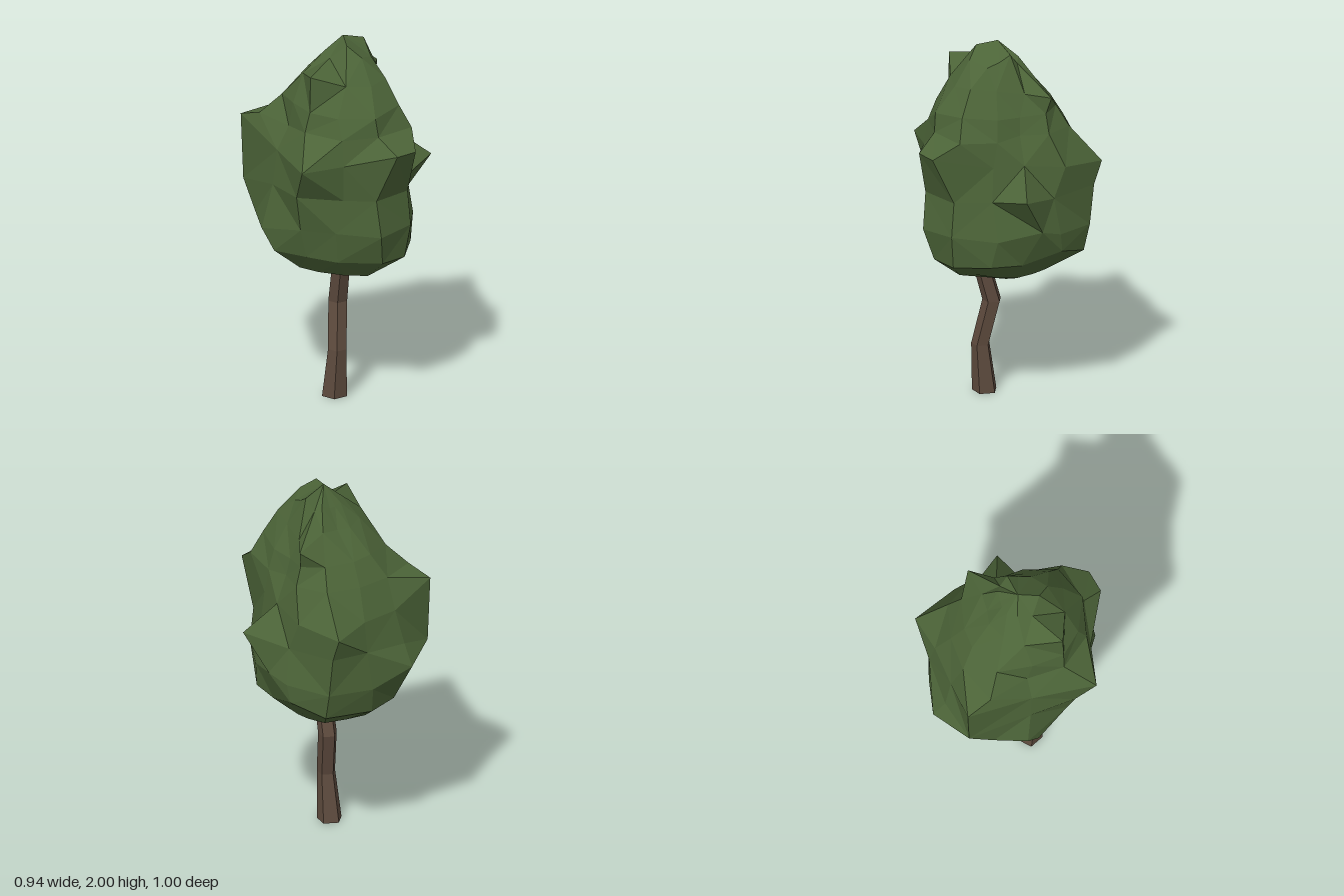
import * as THREE from 'three';

const bark = new THREE.MeshStandardMaterial({ color: 0x5e4b3e, flatShading: true });
bark.name = 'bark brown';
const leaf = new THREE.MeshStandardMaterial({ color: 0x4c6438, flatShading: true });
leaf.name = 'leaf green';

// Small seeded generator for the irregular facets
function seeded(seed) {
  return () => {
    seed = (seed * 16807) % 2147483647;
    return seed / 2147483647;
  };
}

// Faceted skin over rings of points (bottom to top), closed by two end points.
// Each quad is split along its shorter diagonal.
function loft(rings, bottom, top) {
  const pos = [];
  const tri = (...pts) => pts.forEach((p) => pos.push(p.x, p.y, p.z));
  const n = rings[0].length;
  for (let i = 0; i < n; i++) {
    const j = (i + 1) % n;
    tri(bottom, rings[0][i], rings[0][j]);
    for (let r = 0; r < rings.length - 1; r++) {
      const a = rings[r][i], b = rings[r][j], c = rings[r + 1][j], d = rings[r + 1][i];
      if (b.distanceTo(d) < a.distanceTo(c)) { tri(a, d, b); tri(b, d, c); }
      else { tri(a, d, c); tri(a, c, b); }
    }
    const last = rings[rings.length - 1];
    tri(last[i], top, last[j]);
  }
  const g = new THREE.BufferGeometry();
  g.setAttribute('position', new THREE.Float32BufferAttribute(pos, 3));
  g.computeVertexNormals();
  return g;
}

// Bent five-sided trunk: x, y, z, radius
function makeTrunk() {
  const path = [
    [-0.1, 0, 0.065, 0.069],
    [-0.096, 0.27, 0.09, 0.051],
    [-0.068, 0.52, 0.037, 0.052],
    [-0.076, 0.72, 0.09, 0.05],
    [-0.08, 0.9, 0.1, 0.045],
  ];
  const rings = path.map(([x, y, z, r]) => Array.from({ length: 5 }, (_, i) => {
    const a = (i / 5) * Math.PI * 2 + Math.PI / 4;
    return new THREE.Vector3(x + r * Math.cos(a), y, z + r * Math.sin(a));
  }));
  const mesh = new THREE.Mesh(
    loft(rings, new THREE.Vector3(-0.1, 0, 0.065), new THREE.Vector3(-0.08, 0.9, 0.1)), bark);
  mesh.name = 'trunk';
  return mesh;
}

// Lumpy crown: each row is a height and its radii, every 30 degrees from +x towards +z
function makeCrown() {
  const rows = [
    [0.73, 0.16, 0.18, 0.22, 0.25, 0.23, 0.25, 0.27, 0.28, 0.26, 0.23, 0.22, 0.19],
    [0.84, 0.30, 0.34, 0.39, 0.40, 0.36, 0.37, 0.42, 0.41, 0.42, 0.42, 0.43, 0.38],
    [1.00, 0.37, 0.35, 0.42, 0.45, 0.39, 0.41, 0.46, 0.48, 0.50, 0.46, 0.46, 0.40],
    [1.20, 0.40, 0.32, 0.40, 0.43, 0.39, 0.46, 0.42, 0.49, 0.49, 0.45, 0.48, 0.36],
    [1.39, 0.29, 0.30, 0.48, 0.48, 0.42, 0.51, 0.40, 0.50, 0.44, 0.42, 0.48, 0.36],
    [1.54, 0.23, 0.28, 0.40, 0.39, 0.40, 0.38, 0.33, 0.46, 0.38, 0.34, 0.35, 0.31],
    [1.66, 0.21, 0.25, 0.34, 0.38, 0.36, 0.36, 0.32, 0.34, 0.29, 0.27, 0.28, 0.28],
    [1.80, 0.17, 0.18, 0.26, 0.28, 0.28, 0.33, 0.25, 0.20, 0.17, 0.14, 0.17, 0.25],
    [1.91, 0.11, 0.11, 0.15, 0.19, 0.17, 0.15, 0.12, 0.10, 0.08, 0.07, 0.08, 0.09],
  ];
  // Jutting corners that the nearest facet point is pulled out to
  const peaks = [
    [0.47, 1.26, 0.05], [-0.42, 1.39, 0.34], [-0.44, 1.49, -0.37], [0.22, 1.34, -0.47],
    [0.06, 1.46, 0.5], [0.18, 1.46, 0.47], [-0.23, 1.08, -0.5], [0.26, 1.75, -0.17],
    [-0.3, 1.86, 0.19], [-0.47, 0.96, -0.05], [0.1, 1.96, 0], [-0.06, 1.98, 0.13],
    [-0.43, 0.85, 0.02], [0.31, 1.37, -0.23], [-0.43, 1.13, -0.36], [0.39, 1.05, -0.07],
    [0.18, 1.76, -0.05], [0.34, 0.91, -0.2],
  ];
  const rand = seeded(411);
  const rings = rows.map(([y, ...radii]) => radii.map((r, i) => {
    const a = (i / radii.length) * Math.PI * 2 + (rand() - 0.5) * 0.14;
    return new THREE.Vector3(r * Math.cos(a), y + (rand() - 0.5) * 0.03, r * Math.sin(a));
  }));
  const free = new Set(rings.flat());
  for (const p of peaks) {
    const target = new THREE.Vector3(...p);
    let best = null;
    for (const v of free) {
      if (!best || v.distanceTo(target) < best.distanceTo(target)) best = v;
    }
    best.copy(target);
    free.delete(best);
  }
  const mesh = new THREE.Mesh(
    loft(rings, new THREE.Vector3(0.04, 0.67, 0), new THREE.Vector3(-0.03, 2, 0.02)), leaf);
  mesh.name = 'crown';
  return mesh;
}

export function createModel() {
  const tree = new THREE.Group();
  tree.name = 'tree';
  tree.add(makeTrunk(), makeCrown());
  return tree;
}
